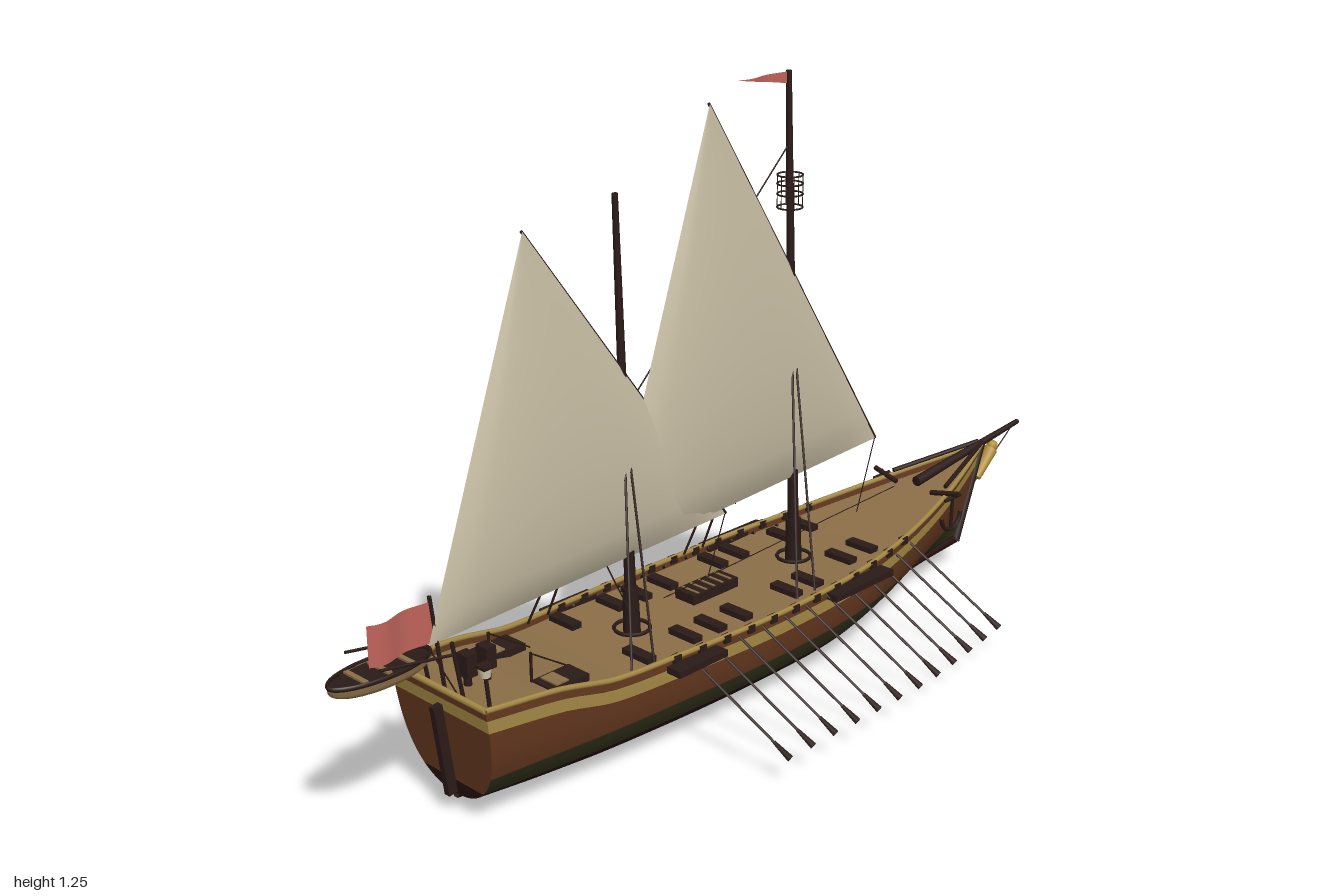
import * as THREE from 'three';

const V = (x, y, z = 0) => new THREE.Vector3(x, y, z);
const lerp = THREE.MathUtils.lerp;

// Smooth curve through [x, y] points, read at x
function curveAt(pts, x) {
  let i = 0;
  while (i < pts.length - 2 && x > pts[i + 1][0]) i++;
  const slope = k => {
    const a = pts[Math.max(k - 1, 0)], b = pts[Math.min(k + 1, pts.length - 1)];
    return (b[1] - a[1]) / (b[0] - a[0]);
  };
  const [p, q] = [pts[i], pts[i + 1]], h = q[0] - p[0], t = (x - p[0]) / h;
  return (2 * t ** 3 - 3 * t * t + 1) * p[1] + (t ** 3 - 2 * t * t + t) * h * slope(i)
    + (3 * t * t - 2 * t ** 3) * q[1] + (t ** 3 - t * t) * h * slope(i + 1);
}

// Grid surface from a rule f(u, v) -> Vector3
function surface(nu, nv, f) {
  const g = new THREE.PlaneGeometry(1, 1, nu, nv), p = g.attributes.position, uv = g.attributes.uv;
  for (let i = 0; i < p.count; i++) p.setXYZ(i, ...f(uv.getX(i), uv.getY(i)).toArray());
  g.computeVertexNormals();
  return g;
}

// Hull lines: half breadth, sheer and bottom along the length
const BREADTH = [[-0.77, 0.135], [-0.5, 0.155], [-0.2, 0.171], [0, 0.174], [0.2, 0.165], [0.4, 0.136], [0.6, 0.088], [0.75, 0.04], [0.85, 0.004]];
const SHEER = [[-0.77, 0.266], [-0.6, 0.25], [-0.48, 0.226], [-0.3, 0.22], [0, 0.215], [0.3, 0.222], [0.5, 0.238], [0.7, 0.262], [0.85, 0.285]];
const BOTTOM = [[-0.77, 0.036], [-0.6, 0.022], [-0.3, 0.012], [0, 0.01], [0.2, 0.011], [0.45, 0.03], [0.7, 0.06], [0.85, 0.07]];
const nominalX = u => lerp(-0.77, 0.85, u);
const sheer = u => curveAt(SHEER, nominalX(u));
const bottom = u => curveAt(BOTTOM, nominalX(u));
const breadth = u => curveAt(BREADTH, nominalX(u));
const uAt = x => (x + 0.77) / 1.62;

function hullPoint(u, y, side) {
  const b = bottom(u), t = THREE.MathUtils.clamp((y - b) / (sheer(u) - b), 0, 1);
  const fine = lerp(0.45, 0.95, THREE.MathUtils.smoothstep(u, 0.6, 1));
  const w = breadth(u) * (1 - (1 - t) ** 3) ** fine;
  return V(lerp(-0.74 - 0.03 * t, 0.77 + 0.08 * t, u), y, side * w);
}

export function createModel() {
  const model = new THREE.Group();
  const mat = (name, color, side = THREE.FrontSide) => {
    const m = new THREE.MeshStandardMaterial({ color, side });
    m.name = name;
    return m;
  };
  const D = THREE.DoubleSide;
  const brown = mat('hull brown', 0x64381f, D), green = mat('green band', 0x2f3019, D);
  const bilge = mat('bottom dark red', 0x260f0b, D), ochre = mat('ochre trim', 0xa58945, D);
  const deckMat = mat('deck planks', 0x8b6e47, D), dark = mat('dark wood', 0x2a1a17);
  const sailMat = mat('canvas', 0xc6bca2, D), red = mat('flag red', 0xc0645a, D);
  const gold = mat('gilding', 0xb08a2c), glass = mat('lantern glass', 0xd6cdb0);

  const add = (name, geo, m, x = 0, y = 0, z = 0) => {
    const mesh = new THREE.Mesh(geo, m);
    mesh.name = name;
    mesh.position.set(x, y, z);
    model.add(mesh);
    return mesh;
  };
  const box = (name, m, w, h, d, x, y, z) => add(name, new THREE.BoxGeometry(w, h, d), m, x, y, z);
  const rod = (name, a, b, r0, r1 = r0, m = dark, sides = 8) => {
    const d = b.clone().sub(a);
    const mesh = add(name, new THREE.CylinderGeometry(r1, r0, d.length(), sides), m);
    mesh.position.copy(a).addScaledVector(d, 0.5);
    mesh.quaternion.setFromUnitVectors(V(0, 1, 0), d.normalize());
    return mesh;
  };
  const rope = (a, b, r = 0.0016) => rod('rope', a, b, r, r, dark, 5);

  // Hull planking in coloured bands, with matching transom strips
  const g0 = u => Math.max(0.068, bottom(u) + 0.012), g1 = u => g0(u) + 0.044;
  const bands = [
    ['bottomPlanking', bilge, bottom, g0, 8], ['greenBand', green, g0, g1, 3],
    ['hullSide', brown, g1, u => sheer(u) - 0.048, 5],
    ['trimStripe', ochre, u => sheer(u) - 0.048, u => sheer(u) - 0.022, 2],
    ['topStrake', brown, u => sheer(u) - 0.022, sheer, 2],
  ];
  for (const [name, m, lo, hi, n] of bands) {
    const level = (u, v) => lerp(lo(u), hi(u), name === 'bottomPlanking' ? v * v : v);
    for (const s of [1, -1]) add(name, surface(56, n, (u, v) => {
      const k = s > 0 ? u : 1 - u;
      return hullPoint(k, level(k, v), s);
    }), m);
    add('transom', surface(6, n, (u, v) => {
      const p = hullPoint(0, level(0, v), 1);
      return V(p.x, p.y, p.z * (2 * u - 1));
    }), name === 'trimStripe' ? ochre : name === 'bottomPlanking' ? bilge : brown);
  }
  add('deck', surface(56, 2, (u, v) => {
    const p = hullPoint(u, sheer(u) - 0.018, 1);
    return V(p.x, p.y, p.z * (1 - 2 * v));
  }), deckMat);
  const deckY = x => sheer(uAt(x)) - 0.018;

  // Gunwale rails, keel, stem and rudder
  const us = Array.from({ length: 30 }, (_, i) => i / 29);
  const tube = (name, pts, r, m, n = 60) => add(name, new THREE.TubeGeometry(new THREE.CatmullRomCurve3(pts), n, r, 6), m);
  for (const s of [1, -1]) tube('gunwale', us.map(u => hullPoint(u, sheer(u), s)), 0.0055, ochre);
  tube('keel', us.map(u => hullPoint(u, bottom(u), 0)), 0.01, bilge);
  rod('stem', V(0.765, 0.066), V(0.856, 0.29), 0.012, 0.01);
  rod('sternRail', V(-0.77, 0.266, -0.135), V(-0.77, 0.266, 0.135), 0.006, 0.006, ochre);
  const rudder = box('rudder', dark, 0.022, 0.19, 0.014, -0.762, 0.135, 0);
  rudder.rotation.z = 0.13;

  // Bowsprit and gilded figurehead
  rod('bowsprit', V(0.61, 0.26), V(0.999, 0.304), 0.012, 0.006);
  rod('figurehead', V(0.84, 0.205), V(0.895, 0.262), 0.012, 0.017, gold);
  add('figureheadCrown', new THREE.SphereGeometry(0.014, 10, 8), gold, 0.9, 0.268, 0);
  rope(V(0.83, 0.19), V(0.98, 0.3));

  // Masts, lateen yards and sails
  const rigs = [
    { foot: V(0.19, 0.19), top: V(0.16, 1.255), peak: V(-0.065, 1.22), tack: V(0.455, 0.41), clew: V(-0.355, 0.372), hang: 0.78, aft: [0.02, 0.075] },
    { foot: V(-0.288, 0.19), top: V(-0.311, 1.09), peak: V(-0.535, 1.06), tack: V(-0.022, 0.375), clew: V(-0.785, 0.352), hang: 0.68, aft: [-0.43, -0.375] },
  ];
  for (const { foot, top, peak, tack, clew, hang, aft } of rigs) {
    const at = y => foot.clone().lerp(top, (y - foot.y) / (top.y - foot.y));
    rod('mast', foot, top, 0.0125, 0.006, dark, 10);
    rod('mastStep', foot, at(0.3), 0.018, 0.016, dark, 10);
    add('mastCollar', new THREE.TorusGeometry(0.036, 0.004, 6, 20).rotateX(Math.PI / 2), dark, foot.x, 0.212, 0);
    rod('yard', tack, peak, 0.004, 0.003);
    add('sail', surface(20, 20, (u, v) => {
      const p = peak.clone().lerp(clew.clone().lerp(tack, u), 1 - v);
      p.z = 0.042 * (27 * v * u * (1 - u) * (1 - v) ** 2) ** 0.6 + 0.003;
      return p;
    }), sailMat);
    for (const s of [1, -1]) for (const x of aft) {
      const end = hullPoint(uAt(x), 0.215, s);
      rope(at(hang), V(x, 0.22, end.z * 0.93), 0.0026);
    }
    rope(clew, V(clew.x + 0.03, 0.25, 0.05));
    rope(tack, V(tack.x - 0.02, 0.23, -0.03), 0.0012);
  }
  rope(V(0.164, 1.11), V(-0.302, 0.66));
  rope(V(-0.303, 0.7, -0.005), V(0.02, 0.38, -0.01));
  rope(V(-0.2, 0.245), V(0.53, 0.272), 0.001);

  // Lookout hoops on the mainmast
  for (const y of [0.98, 1.007, 1.028, 1.046])
    add('lookoutHoop', new THREE.TorusGeometry(0.026, 0.002, 5, 18).rotateX(Math.PI / 2), dark, 0.167, y, 0);
  for (let i = 0; i < 6; i++) {
    const x = 0.167 + 0.026 * Math.cos(i * Math.PI / 3), z = 0.026 * Math.sin(i * Math.PI / 3);
    rope(V(x, 0.978, z), V(x, 1.046, z), 0.001);
  }

  // Pennant and ensign
  add('pennant', surface(12, 2, (u, v) => V(0.013 + 0.148 * u, 1.253 - 0.024 * u * (1 - v), 0.01 * Math.sin(u * 7) * (1 - u))), red);
  add('ensign', surface(12, 4, (u, v) => V(-0.912 + 0.142 * u, 0.355 + 0.08 * v, 0.013 * Math.sin(u * 7) * (1 - u))), red);
  rod('ensignStaff', V(-0.752, 0.25), V(-0.776, 0.445), 0.004);

  // Stern boat on its davits
  const boat = new THREE.SphereGeometry(1, 28, 8, 0, Math.PI * 2, Math.PI / 2, Math.PI / 2);
  const bp = boat.attributes.position;
  for (let i = 0; i < bp.count; i++) bp.setY(i, -(Math.max(0, -bp.getY(i)) ** 0.5));
  boat.scale(0.108, 0.032, 0.04).computeVertexNormals();
  add('boatHull', boat, deckMat, -0.89, 0.348, 0);
  add('boatInside', new THREE.CircleGeometry(1, 28).rotateX(-Math.PI / 2).scale(0.106, 1, 0.039), dark, -0.89, 0.345, 0);
  add('boatRim', new THREE.TorusGeometry(1, 0.035, 6, 32).rotateX(Math.PI / 2).scale(0.1063, 0.14, 0.041), dark, -0.89, 0.348, 0);
  for (const x of [-0.94, -0.89, -0.84]) box('boatThwart', deckMat, 0.01, 0.004, 0.06, x, 0.349, 0);
  for (const s of [1, -1]) {
    rod('davit', V(-0.75, 0.25, s * 0.05), V(-0.77, 0.37, s * 0.05), 0.004);
    rod('davitArm', V(-0.765, 0.345, s * 0.05), V(-0.925, 0.373, s * 0.05), 0.003);
  }

  // Deck furniture on the centreline
  box('hatchCoaming', dark, 0.13, 0.022, 0.054, -0.048, 0.207, -0.028);
  for (let i = 0; i < 5; i++) box('hatchGrating', deckMat, 0.005, 0.004, 0.046, -0.096 + i * 0.024, 0.218, -0.028);
  for (const x of [-0.7, -0.655]) {
    rod('steeringStand', V(x, 0.23), V(x, 0.27), 0.008);
    box('steeringBox', dark, 0.024, 0.045, 0.03, x, 0.285, 0);
  }

  for (const s of [1, -1]) {
    // Oars with blades
    for (let i = 0; i < 12; i++) {
      const x = -0.254 + i * 0.0657, z = 0.39 - 0.045 * Math.max(0, (i - 6) / 5) ** 1.3;
      const tip = V(x, 0.058, s * z), inner = V(x - 0.04, 0.208, s * (z - 0.225));
      rod('oar', inner, tip, 0.003, 0.003, dark, 6);
      const blade = rod('oarBlade', tip.clone().lerp(inner, 0.16), tip, 0.004, 0.008, dark, 6);
      blade.scale.x = 0.7;
    }
    // Rowing benches and pin posts
    for (const x of [-0.37, -0.245, -0.175, -0.1, 0.05, 0.115, 0.245, 0.315])
      box('rowingBench', dark, 0.024, 0.012, 0.07, x, deckY(x) + 0.016, s * (x > 0.2 ? 0.085 : 0.105));
    for (let x = -0.33; x < 0.42; x += 0.0657)
      box('oarlock', dark, 0.018, 0.016, 0.012, x, sheer(uAt(x)) - 0.004, s * breadth(uAt(x)));
    // Shroud channels
    box('channel', dark, 0.13, 0.014, 0.035, -0.29, 0.202, s * 0.183);
    box('channel', dark, 0.185, 0.014, 0.035, 0.193, 0.202, s * 0.18);
    // Aft hatches, chests and lanterns
    box('aftHatch', dark, 0.09, 0.014, 0.058, -0.555, deckY(-0.555) + 0.006, s * 0.09);
    box('aftHatchPanel', deckMat, 0.03, 0.004, 0.044, -0.57, deckY(-0.555) + 0.014, s * 0.09);
    rod('lanternPost', V(-0.735, 0.24, s * 0.105), V(-0.742, 0.312, s * 0.105), 0.004);
    rod('lantern', V(-0.742, 0.312, s * 0.105), V(-0.742, 0.33, s * 0.105), 0.009, 0.012, glass);
    box('lanternCap', dark, 0.026, 0.005, 0.026, -0.742, 0.333, s * 0.105);
    rope(V(-0.6, 0.29, s * 0.06), V(-0.5, 0.225, s * 0.06));
    rod('poopPost', V(-0.6, 0.23, s * 0.06), V(-0.6, 0.292, s * 0.06), 0.003);
    // Anchors on catheads
    rod('cathead', V(0.6, 0.25, s * 0.05), V(0.61, 0.262, s * 0.12), 0.006);
    rod('anchorShank', V(0.612, 0.262, s * 0.103), V(0.612, 0.172, s * 0.1), 0.004);
    rod('anchorStock', V(0.585, 0.248, s * 0.103), V(0.64, 0.248, s * 0.103), 0.004);
    add('anchorArms', new THREE.TorusGeometry(0.034, 0.005, 6, 16, Math.PI), dark, 0.612, 0.206, s * 0.1).rotation.z = Math.PI;
    // Bow rail beside the bowsprit
    rod('bowRail', V(0.62, 0.265, s * 0.075), V(0.85, 0.292, s * 0.006), 0.005, 0.005, dark);
  }
  return model;
}
